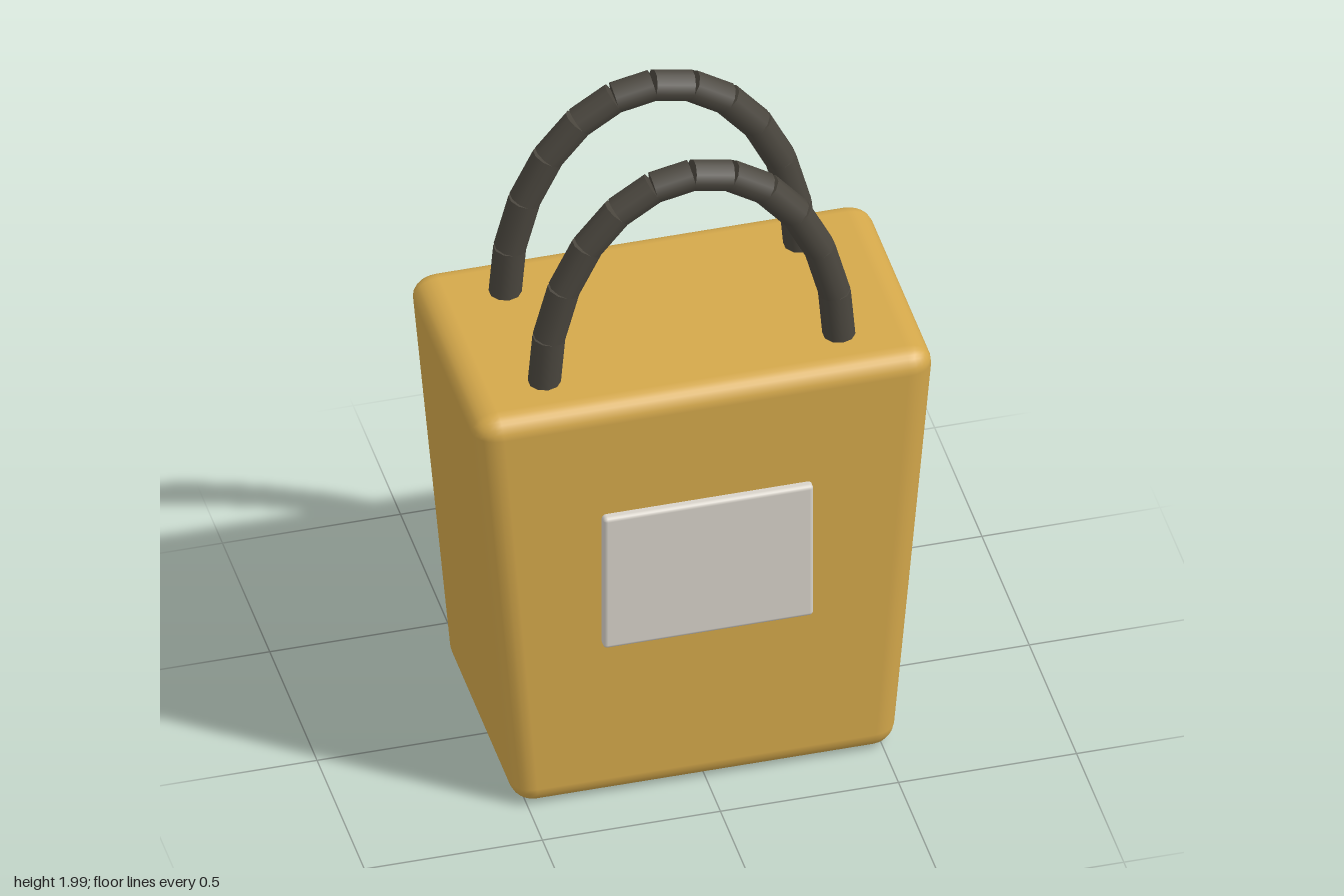
import * as THREE from 'three';
import { RoundedBoxGeometry } from 'three/addons/geometries/RoundedBoxGeometry.js';

const material = (name, color) => {
  const m = new THREE.MeshStandardMaterial({ color });
  m.name = name;
  return m;
};

// Rounded box whose width grows from bottom to top
function taperedBox(bottomWidth, topWidth, height, depth, radius) {
  const geo = new RoundedBoxGeometry(1, height, depth, 3, radius);
  const p = geo.attributes.position, n = geo.attributes.normal;
  const rate = (topWidth - bottomWidth) / height;
  const v = new THREE.Vector3();
  for (let i = 0; i < p.count; i++) {
    const x = p.getX(i), y = p.getY(i);
    const s = (topWidth + bottomWidth) / 2 + rate * y;
    p.setX(i, x * s);
    v.fromBufferAttribute(n, i);
    v.set(v.x / s, v.y - (x * rate * v.x) / s, v.z).normalize();
    n.setXYZ(i, v.x, v.y, v.z);
  }
  return geo;
}

// Arched handle made of short straight links along a half ellipse
function makeHandle(name, z, mat) {
  const handle = new THREE.Group();
  handle.name = name;
  const links = 12, rx = 0.415, ry = 0.64, baseY = 1.315;
  const at = (i) => {
    const t = (Math.PI * i) / links;
    return new THREE.Vector3(rx * Math.cos(t), baseY + ry * Math.sin(t), z);
  };
  const up = new THREE.Vector3(0, 1, 0);
  for (let i = 0; i < links; i++) {
    const a = at(i), b = at(i + 1);
    const link = new THREE.Mesh(new THREE.CylinderGeometry(0.045, 0.045, a.distanceTo(b), 10), mat);
    link.name = 'handleLink';
    link.position.copy(a).add(b).multiplyScalar(0.5);
    link.quaternion.setFromUnitVectors(up, b.clone().sub(a).normalize());
    handle.add(link);
  }
  return handle;
}

export function createModel() {
  const model = new THREE.Group();
  model.name = 'handbag';
  const tan = material('goldenTan', 0xd4a84b);
  const charcoal = material('charcoal', 0x4a463e);
  const pale = material('paleGrey', 0xd8d3ca);

  // Bag body
  const body = new THREE.Mesh(taperedBox(1.07, 1.3, 1.33, 0.735, 0.06), tan);
  body.name = 'body';
  body.position.set(0, 0.668, -0.012);
  model.add(body);

  // Front panel
  const panel = new THREE.Mesh(new RoundedBoxGeometry(0.59, 0.445, 0.04, 2, 0.012), pale);
  panel.name = 'frontPanel';
  panel.position.set(0, 0.747, 0.36);
  model.add(panel);

  // Pair of handles
  model.add(makeHandle('frontHandle', 0.195, charcoal));
  model.add(makeHandle('backHandle', -0.219, charcoal));
  return model;
}
